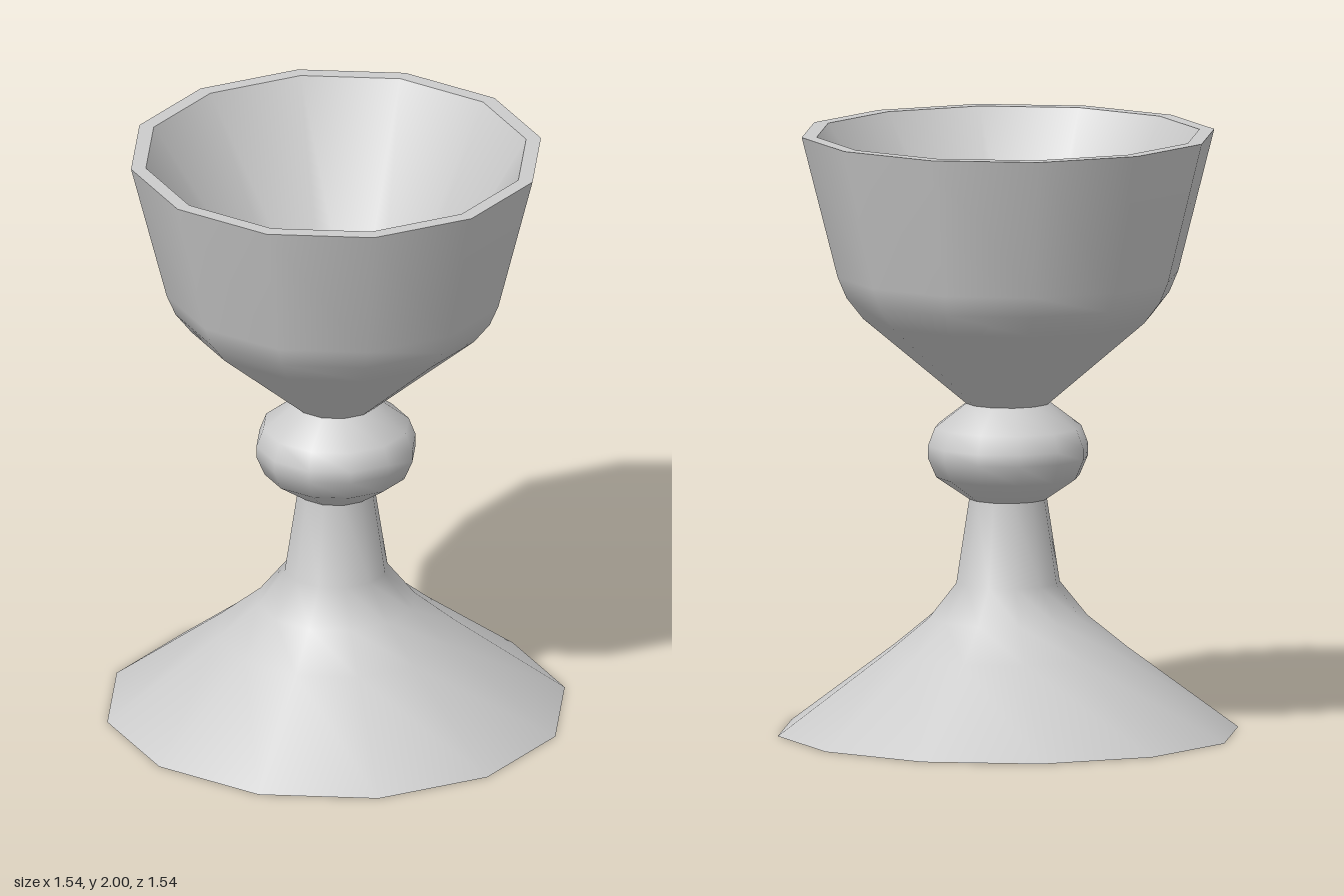
import * as THREE from 'three';

const SIDES = 12;

export function createModel() {
  const group = new THREE.Group();
  group.name = 'goblet';
  const material = new THREE.MeshStandardMaterial({ color: 0xcccccc });

  // Each part is its own turned profile [radius, height], so joints stay crisp.
  const turn = (name, profile) => {
    const points = profile.map(([r, y]) => new THREE.Vector2(r, y));
    const mesh = new THREE.Mesh(new THREE.LatheGeometry(points, SIDES), material);
    mesh.name = name;
    group.add(mesh);
  };

  // Flared foot running up into the stem
  turn('footUnderside', [[0, 0], [0.77, 0]]);
  turn('footAndStem', [[0.77, 0], [0.4, 0.275], [0.265, 0.385], [0.173, 0.5], [0.13, 0.78]]);

  // Rounded knop between stem and bowl
  turn('knop', [[0.13, 0.78], [0.24, 0.855], [0.268, 0.92], [0.268, 0.96], [0.245, 1.02], [0.14, 1.1]]);

  // Bowl: outer wall, flat rim, tapering inside and its small floor
  turn('bowlOutside', [[0.14, 1.1], [0.485, 1.39], [0.54, 1.46], [0.57, 1.53], [0.69, 2]]);
  turn('rim', [[0.69, 2], [0.64, 2]]);
  turn('bowlInside', [[0.64, 2], [0.185, 1.22], [0.15, 1.19]]);
  turn('bowlFloor', [[0.15, 1.19], [0, 1.19]]);

  return group;
}
